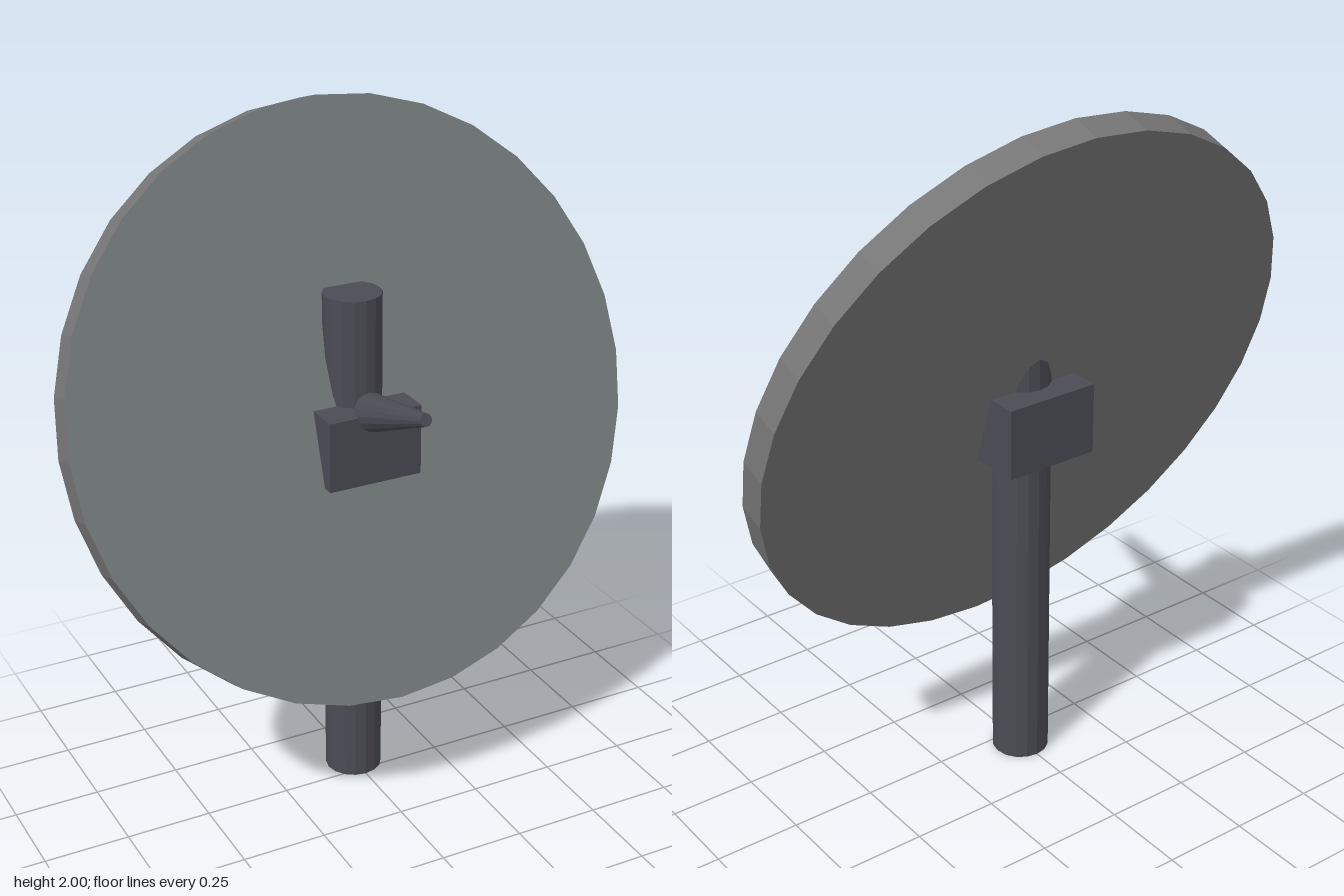
import * as THREE from 'three';

export function createModel() {
  const model = new THREE.Group();
  const axisZ = -0.055; // pole, mount and dish share this centre
  const tilt = THREE.MathUtils.degToRad(72); // turns +y to face forward, 18 degrees up

  const mat = (name, color) => {
    const m = new THREE.MeshStandardMaterial({ color, flatShading: true });
    m.name = name;
    return m;
  };
  const darkMetal = mat('dark metal', 0x4b4b54);
  const faceGrey = mat('dish face grey', 0x767b7d);
  const shellGrey = mat('dish shell grey', 0x767676);

  const add = (name, geometry, material, y, z, rx = 0) => {
    const mesh = new THREE.Mesh(geometry, material);
    mesh.name = name;
    mesh.position.set(0, y, z);
    mesh.rotation.x = rx;
    model.add(mesh);
  };

  // Upright pole
  add('pole', new THREE.CylinderGeometry(0.083, 0.083, 1.51, 16), darkMetal, 0.755, axisZ);

  // Block that holds the dish on the pole
  add('mountBlock', new THREE.BoxGeometry(0.282, 0.206, 0.282), darkMetal, 1.097, axisZ);

  // Flat dish: rim, front face, back face
  add('dish', new THREE.CylinderGeometry(0.846, 0.846, 0.09, 32),
    [shellGrey, faceGrey, shellGrey], 1.182, axisZ, tilt);

  // Tapered receiver pointing along the dish axis
  add('receiver', new THREE.CylinderGeometry(0.018, 0.055, 0.316, 16),
    darkMetal, 1.246, 0.212, tilt);

  return model;
}
